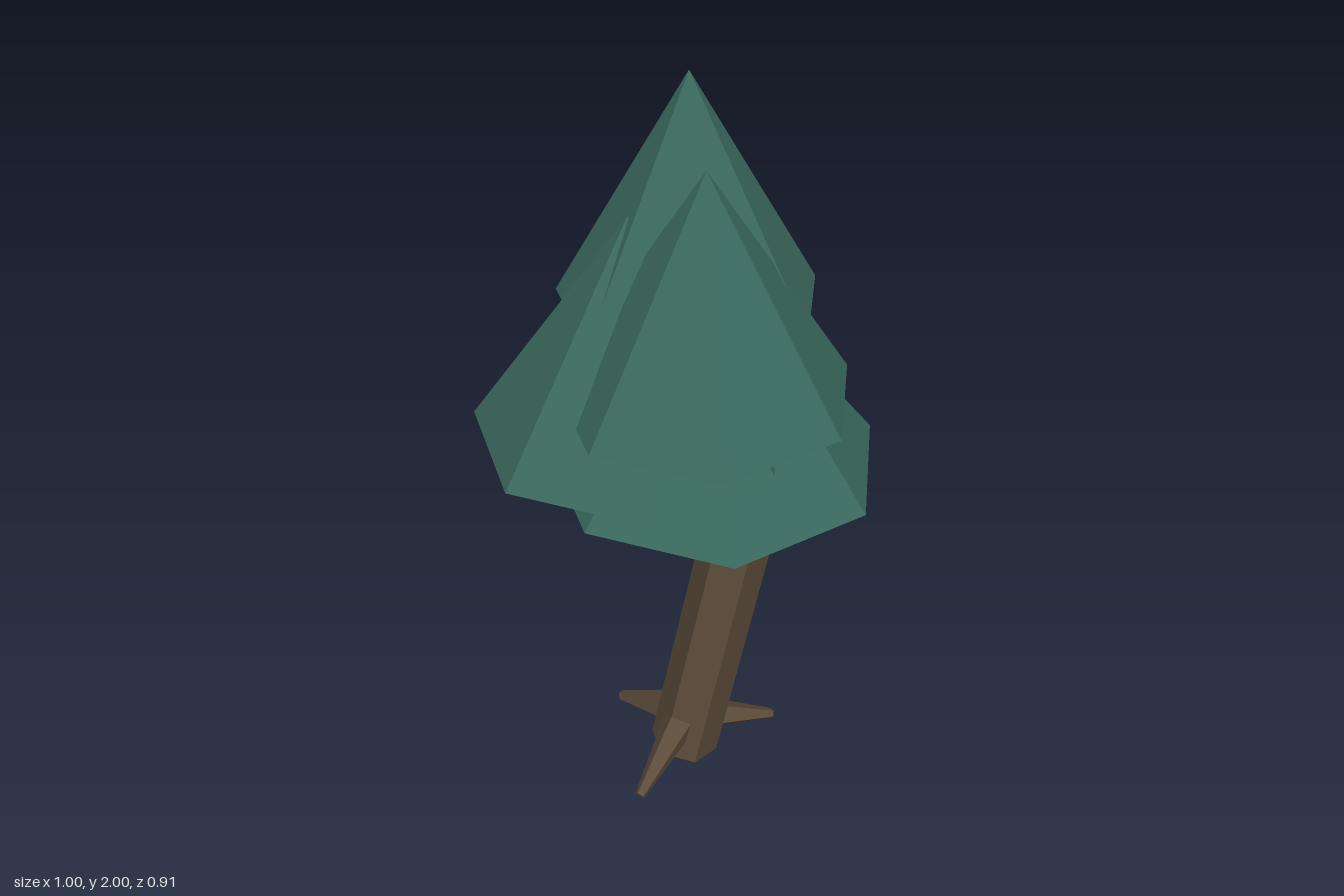
import * as THREE from 'three';

const V = (x, y, z) => new THREE.Vector3(x, y, z);

export function createModel() {
  const group = new THREE.Group();
  group.name = 'crookedPine';

  const needles = new THREE.MeshStandardMaterial({ color: 0x3a695e });
  needles.name = 'needleGreen';
  const bark = new THREE.MeshStandardMaterial({ color: 0x5b4b3a });
  bark.name = 'barkBrown';

  const add = (name, geometry, material) => {
    const flat = geometry.toNonIndexed();
    flat.computeVertexNormals(); // faceted low-poly shading
    const mesh = new THREE.Mesh(flat, material);
    mesh.name = name;
    group.add(mesh);
    return mesh;
  };

  // Tapered prism running from point a to point b
  const limb = (name, a, b, rA, rB, sides) => {
    const dir = b.clone().sub(a);
    const mesh = add(name, new THREE.CylinderGeometry(rB, rA, dir.length(), sides), bark);
    mesh.position.copy(a).add(b).multiplyScalar(0.5);
    mesh.quaternion.setFromUnitVectors(V(0, 1, 0), dir.normalize());
  };

  // Trunk: a leaning lower log and an upper log bent back the other way
  limb('lowerTrunk', V(-0.03, 0.023, 0.01), V(0.17, 0.928, -0.015), 0.096, 0.094, 6);
  limb('upperTrunk', V(0.165, 0.93, -0.015), V(0.03, 1.36, -0.03), 0.094, 0.08, 6);
  // Twig tip that just breaks through the topmost foliage
  limb('twig', V(0.05, 1.55, -0.1), V(0.108, 1.715, -0.222), 0.012, 0.01, 5);

  // Roots splayed around the foot
  const roots = [
    [V(0.02, 0.115, 0.01), V(0.24, 0.04, 0.01)],
    [V(-0.05, 0.14, 0.04), V(-0.217, 0.042, 0.185)],
    [V(-0.04, 0.12, -0.03), V(-0.155, 0.04, -0.2)],
  ];
  roots.forEach(([a, b], i) => limb('root' + (i + 1), a, b, 0.05, 0.015, 5));

  // Foliage: seven-sided cones of equal height, [x, base y, z, radius]
  const tiers = [
    [0.066, 0.99, -0.032, 0.433],
    [-0.141, 1.14, -0.036, 0.398],
    [-0.004, 1.29, 0.1, 0.36],
    [0.018, 1.44, -0.08, 0.322],
  ];
  tiers.forEach(([x, y, z, r], i) => {
    const cone = new THREE.ConeGeometry(r, 0.56, 7, 1, false, Math.PI / 2);
    add('foliageTier' + (i + 1), cone, needles).position.set(x, y + 0.28, z);
  });

  return group;
}
